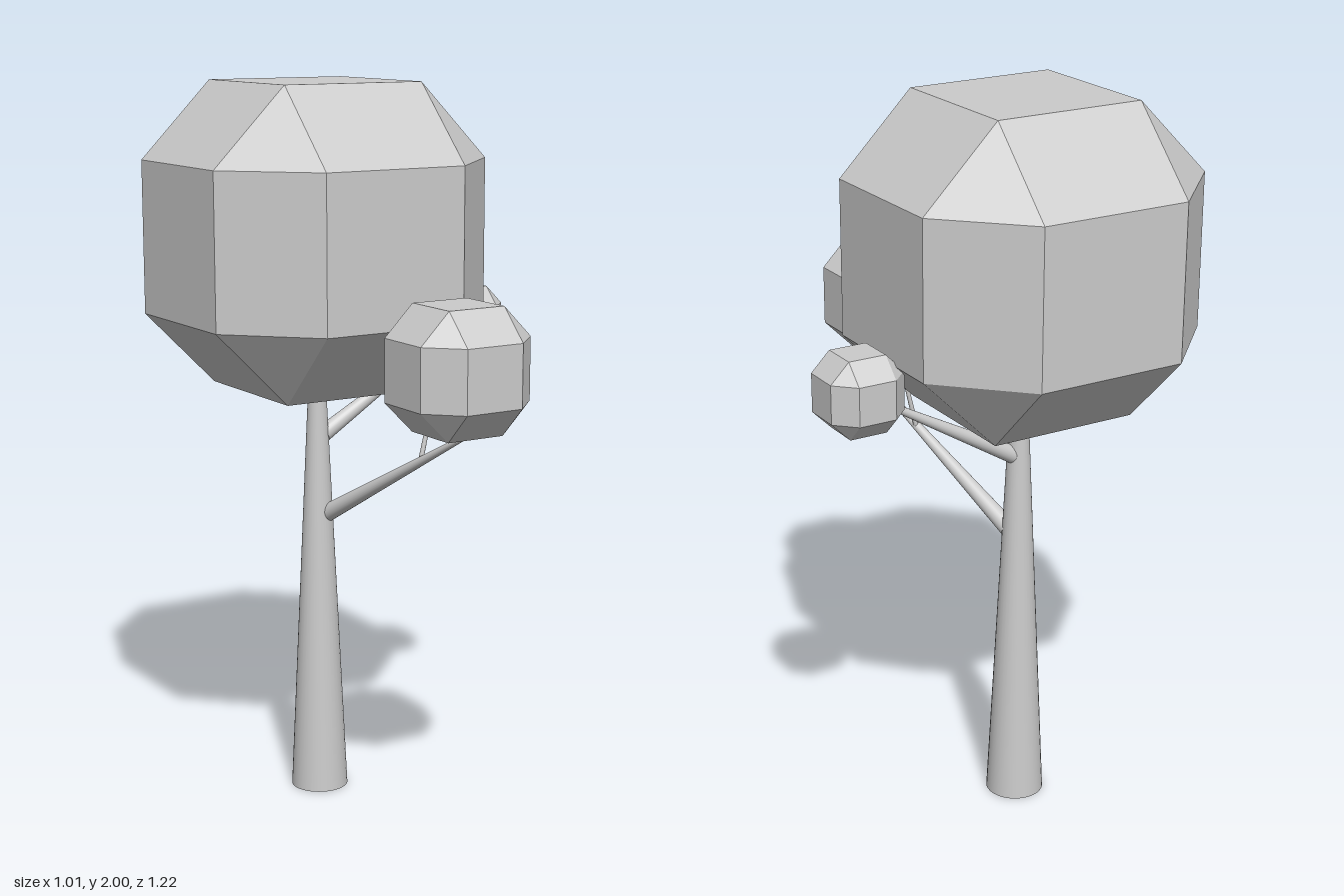
import * as THREE from 'three';
import { ConvexGeometry } from 'three/addons/geometries/ConvexGeometry.js';

const wood = new THREE.MeshStandardMaterial({ color: 0xcccccc });
const leaf = new THREE.MeshStandardMaterial({ color: 0xcccccc, flatShading: true });

// Tapered round limb from point a (radius ra) to point b (radius rb)
function limb(name, a, b, ra, rb, sides = 24) {
  const from = new THREE.Vector3(...a), to = new THREE.Vector3(...b);
  const dir = to.clone().sub(from);
  const mesh = new THREE.Mesh(new THREE.CylinderGeometry(rb, ra, dir.length(), sides), wood);
  mesh.position.copy(from).add(to).multiplyScalar(0.5);
  mesh.quaternion.setFromUnitVectors(new THREE.Vector3(0, 1, 0), dir.normalize());
  mesh.name = name;
  return mesh;
}

// Cube of half-size h with all edges and corners cut off halfway
function crown(name, center, h) {
  const points = [];
  for (let axis = 0; axis < 3; axis++)
    for (const x of [-1, 1]) for (const y of [-1, 1]) for (const z of [-1, 1]) {
      const p = new THREE.Vector3(x, y, z).multiplyScalar(h / 2);
      p.setComponent(axis, p.getComponent(axis) * 2);
      points.push(p);
    }
  const mesh = new THREE.Mesh(new ConvexGeometry(points), leaf);
  mesh.position.set(...center);
  mesh.name = name;
  return mesh;
}

export function createModel() {
  const tree = new THREE.Group();
  tree.name = 'tree';
  tree.add(
    // Trunk and limbs
    limb('trunk', [-0.09, 0, -0.19], [-0.09, 1.25, -0.19], 0.08, 0.021, 32),
    limb('frontBranch', [-0.073, 0.805, -0.17], [0.09, 1.17, 0.44], 0.025, 0.003),
    limb('twig', [0.02, 1.0, 0.165], [0.115, 1.4, 0.165], 0.007, 0.003, 12),
    limb('sideBranch', [-0.07, 1.03, -0.19], [0.38, 1.29, -0.2], 0.024, 0.006),
    // Foliage
    crown('mainCrown', [-0.092, 1.585, -0.192], 0.417),
    crown('frontCrown', [-0.05, 1.307, 0.443], 0.165),
    crown('sideCrown', [0.4, 1.307, -0.203], 0.104),
  );
  return tree;
}
